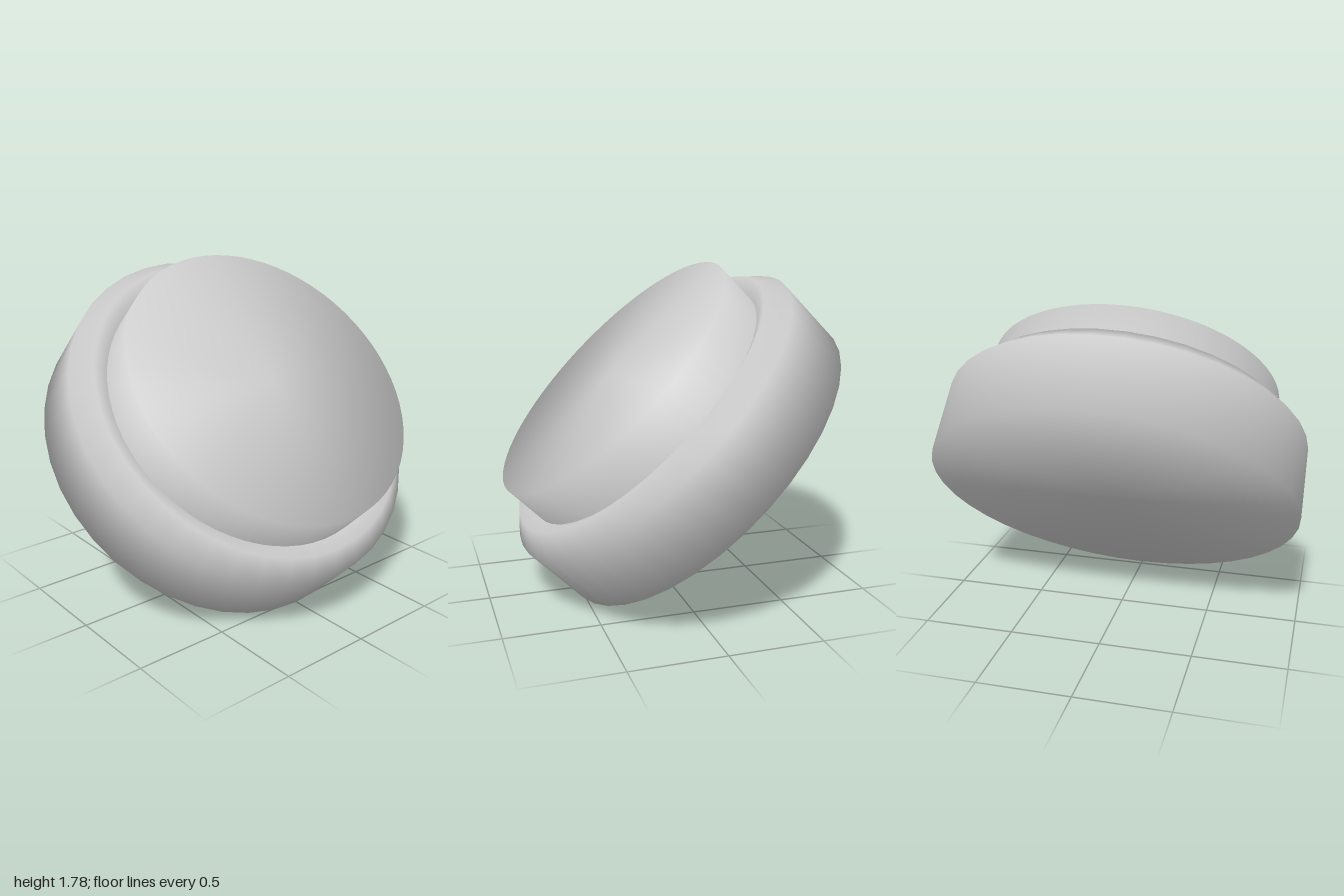
import * as THREE from 'three';

// Smooth turned solid from [radius, height] pairs, listed bottom to top.
// Each ring's normal is the even average of the two slopes that meet there.
function turned(name, profile, sides, material) {
  const points = profile.map(([r, h]) => new THREE.Vector2(r, h));
  const geometry = new THREE.LatheGeometry(points, sides);
  const slopes = points.slice(1).map((p, i) =>
    new THREE.Vector2(p.y - points[i].y, points[i].x - p.x).normalize());
  const normals = points.map((p, i) => {
    if (p.x === 0) return new THREE.Vector2(0, i === 0 ? -1 : 1);
    if (i === 0) return slopes[0];
    return slopes[i - 1].clone().add(slopes[i]).normalize();
  });
  for (let s = 0; s <= sides; s++) {
    const angle = (s / sides) * Math.PI * 2;
    normals.forEach((n, i) => geometry.attributes.normal.setXYZ(
      s * points.length + i, n.x * Math.sin(angle), n.y, n.x * Math.cos(angle)));
  }
  const mesh = new THREE.Mesh(geometry, material);
  mesh.name = name;
  return mesh;
}

export function createModel() {
  const grey = new THREE.MeshStandardMaterial({ color: 0xcccccc });
  grey.name = 'light grey';

  const button = new THREE.Group();
  button.name = 'pushButton';

  // Base: chamfered rim with a shallow conical dish inside
  const rim = [[0, 0], [1, 0], [1, 0.4], [0.9, 0.5], [0.8, 0.446], [0, 0.01]];
  button.add(turned('base', rim, 40, grey));

  // Cap: flat disc rising out of the dish, its skirt running down inside the base
  const disc = [[0.817, 0.02], [0.817, 0.7], [0, 0.7]];
  button.add(turned('cap', disc, 64, grey));

  // Tilt to face forward and up, resting on the lower rim
  button.rotation.x = Math.PI / 4;
  button.position.set(0, Math.SQRT1_2, -0.18);

  const model = new THREE.Group();
  model.name = 'tiltedButton';
  model.add(button);
  return model;
}
